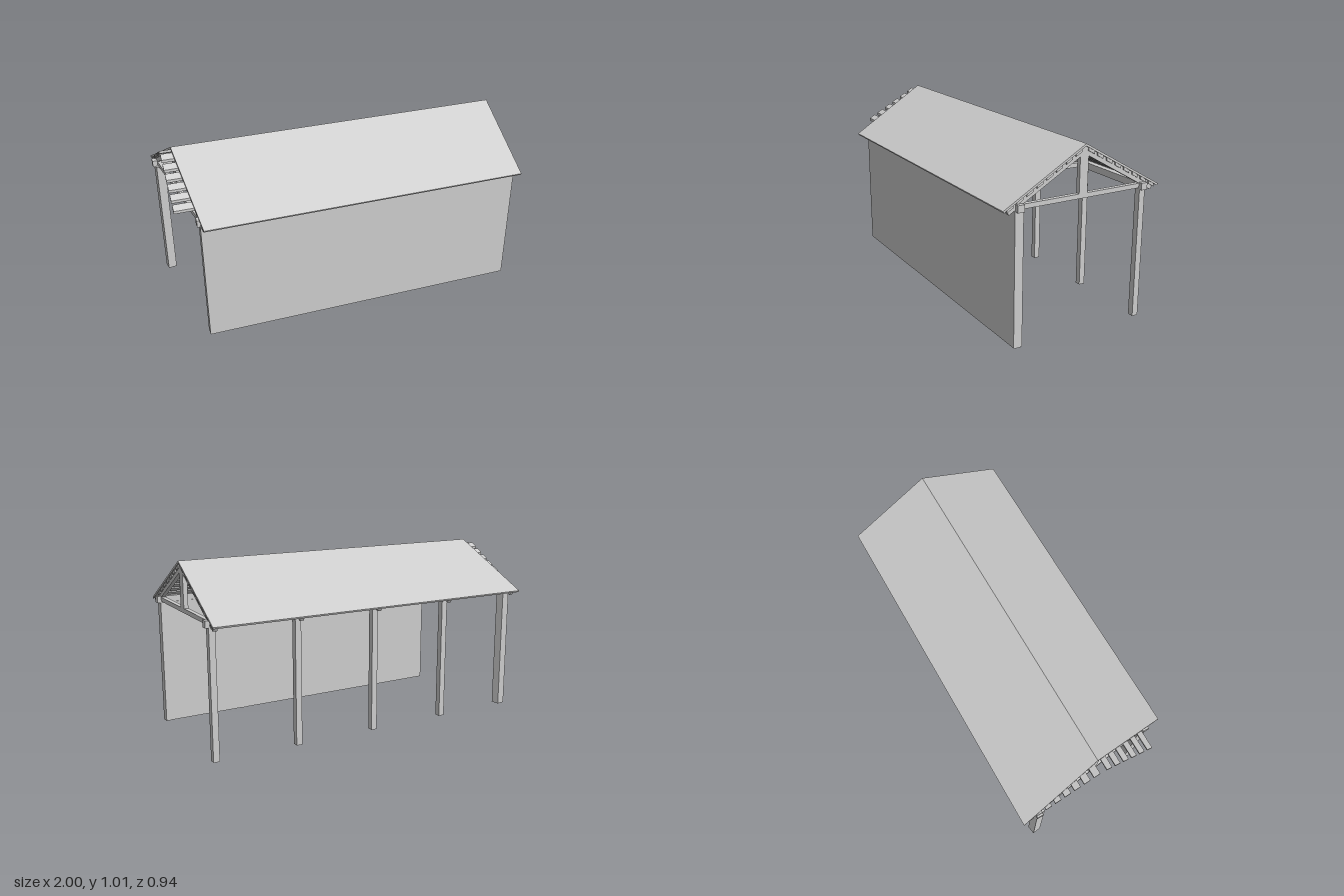
import * as THREE from 'three';

const SLOPE = 0.574;
const SKEW = 0.14; // the -x end of the shed is cut at a slight angle
const material = new THREE.MeshStandardMaterial({ color: 0xcccccc, flatShading: true });

// box given by its minimum and maximum corners
function box(name, x0, x1, y0, y1, z0, z1) {
  const m = new THREE.Mesh(new THREE.BoxGeometry(x1 - x0, y1 - y0, z1 - z0), material);
  m.position.set((x0 + x1) / 2, (y0 + y1) / 2, (z0 + z1) / 2);
  m.name = name;
  return m;
}

// extrude a (z, y) profile along x, from x0 to x1
function extrudeX(name, points, x0, x1) {
  const shape = new THREE.Shape(points.map(([z, y]) => new THREE.Vector2(z, y)));
  const g = new THREE.ExtrudeGeometry(shape, { depth: x1 - x0, bevelEnabled: false });
  g.rotateY(-Math.PI / 2);
  g.translate(x1, 0, 0);
  const m = new THREE.Mesh(g, material);
  m.name = name;
  return m;
}

// one truss with its two posts, centred on x = 0
function makeFrame(postWidth, height) {
  const frame = new THREE.Group();
  frame.name = 'frame';
  const w = 0.0125, p = postWidth / 2;
  frame.add(box('backPost', -p, p, 0, height, -0.39, -0.39 + postWidth));
  frame.add(box('tieBeam', -w, w, 0.725, 0.75, -0.37, 0.37));
  frame.add(box('kingPost', -w, w, 0.75, 0.965, -0.025, 0.025));
  for (const s of [-1, 1]) {
    frame.add(extrudeX('rafter', [[0, 0.953], [s * 0.43, 0.706], [s * 0.448, 0.736], [0, 0.992]], -w, w));
  }
  return frame;
}

export function createModel() {
  const model = new THREE.Group();
  model.name = 'openShed';

  // straight frames, with the front posts buried in the wall
  for (const x of [-0.49, -0.005, 0.48, 0.965]) {
    const frame = makeFrame(0.035, 0.72);
    frame.add(box('frontPost', -0.0175, 0.0175, 0, 0.72, 0.358, 0.393));
    frame.position.x = x;
    model.add(frame);
  }

  // angled end frame
  const endFrame = makeFrame(0.05, 0.72);
  endFrame.name = 'angledFrame';
  endFrame.rotation.y = Math.atan(SKEW);
  endFrame.position.x = -0.91;
  model.add(endFrame);

  // front wall and the long plates over wall and posts
  model.add(box('wall', -0.87, 0.983, 0.004, 0.72, 0.35, 0.399));
  model.add(box('frontPlate', -0.885, 1.0, 0.717, 0.755, 0.355, 0.393));
  model.add(box('backPlate', -1.0, 1.0, 0.717, 0.755, -0.39, -0.353));

  for (const s of [-1, 1]) {
    // roof panel, its -x edge sheared to the angled end
    const roof = extrudeX('roofPanel', [[0, 1.006], [s * 0.47, 0.736], [s * 0.465, 0.726], [0, 0.993]], -1, 0.99);
    const pos = roof.geometry.attributes.position;
    for (let i = 0; i < pos.count; i++) {
      if (pos.getX(i) < 0) pos.setX(i, -0.93 + SKEW * pos.getZ(i));
    }
    roof.geometry.computeVertexNormals();
    model.add(roof);

    // slats below the panel, sticking out past the angled end
    for (let i = 0; i < 8; i++) {
      const a = 0.02 + i * 0.0558, b = a + 0.035;
      const ya = 0.993 - SLOPE * a, yb = 0.993 - SLOPE * b;
      const x0 = s > 0 && i > 5 ? -0.86 : -0.99;
      model.add(extrudeX('roofSlat', [[s * a, ya], [s * b, yb], [s * b, yb - 0.016], [s * a, ya - 0.016]], x0, 0.985));
    }
  }
  return model;
}
